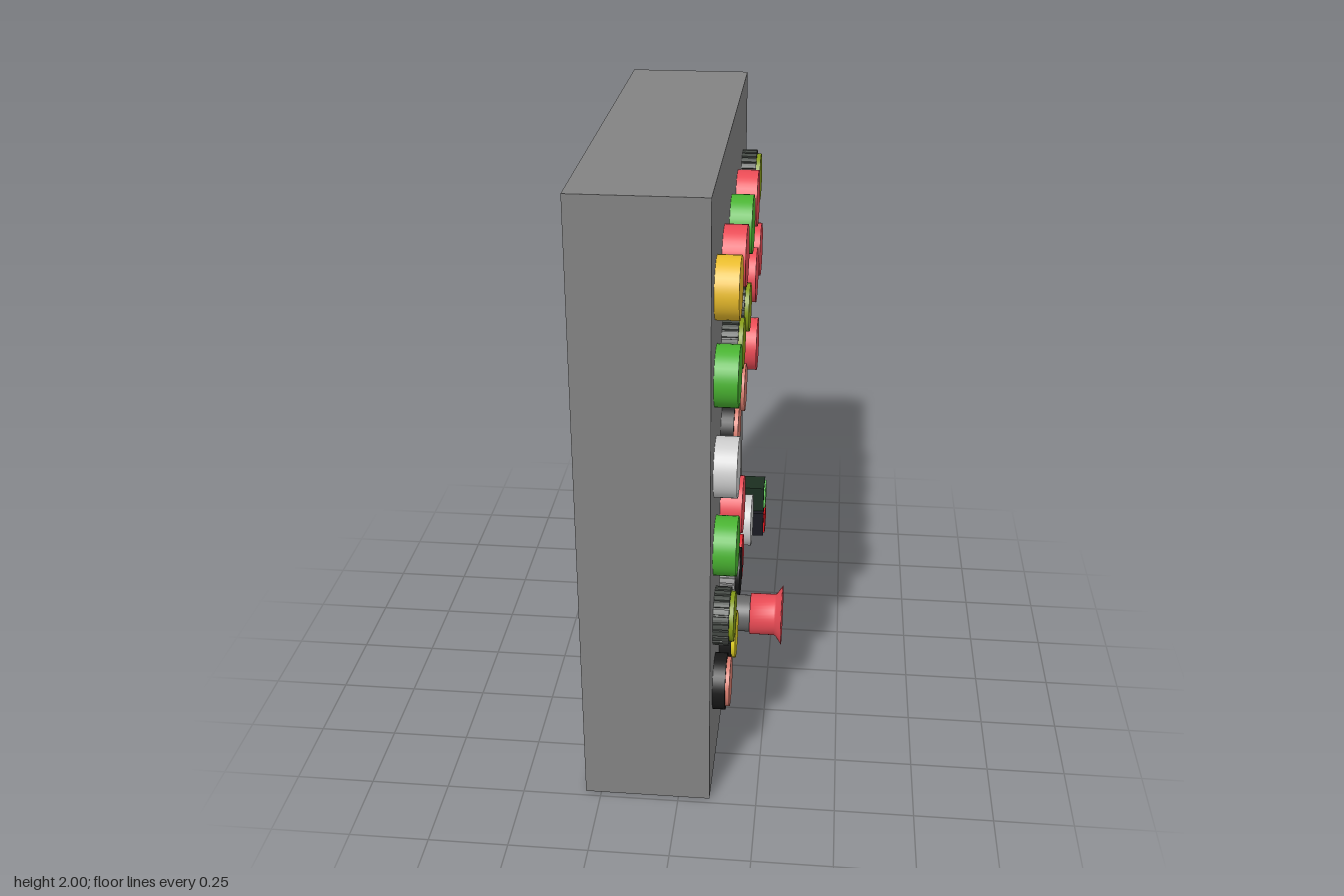
import * as THREE from 'three';

const FACE = 0.10; // x of the panel face that carries the controls
const C = {
  body: 0x828282, red: 0xe84a54, green: 0x49b231, amber: 0xe8bb2c, white: 0xcccccc,
  olive: 0x849a17, salmon: 0xd67b6d, yellow: 0xe8d525, brightRed: 0xe82e36,
  black: 0x181818, dark: 0x454a45, orange: 0xcc6325, grey: 0x666666,
};
const mats = {};
const mat = (color) => (mats[color] ??= new THREE.MeshStandardMaterial({ color }));

function add(parent, name, geometry, color, x = 0, y = 0, z = 0) {
  const mesh = new THREE.Mesh(geometry, mat(color));
  mesh.name = name;
  mesh.position.set(x, y, z);
  parent.add(mesh);
  return mesh;
}

// Cylinder along x from x0 to x1
function disc(r, x0, x1, rEnd = r) {
  return new THREE.CylinderGeometry(rEnd, r, x1 - x0, 40)
    .rotateZ(-Math.PI / 2).translate((x0 + x1) / 2, 0, 0);
}

// Ring along x with a notched rim
function knurledRing(rOut, rIn, depth) {
  const teeth = 24, shape = new THREE.Shape();
  for (let i = 0; i < teeth; i++) {
    for (const [t, r] of [[0, rOut], [0.35, rOut], [0.7, rOut], [0.74, rOut - 0.006], [0.96, rOut - 0.006]]) {
      const a = ((i + t) / teeth) * Math.PI * 2;
      shape[i + t === 0 ? 'moveTo' : 'lineTo'](r * Math.cos(a), r * Math.sin(a));
    }
  }
  shape.closePath();
  shape.holes.push(new THREE.Path().absarc(0, 0, rIn, 0, Math.PI * 2, true));
  return new THREE.ExtrudeGeometry(shape, { depth, bevelEnabled: false, curveSegments: 20 }).rotateY(Math.PI / 2);
}

function station(parent, name, y, z) {
  const g = new THREE.Group();
  g.name = name;
  g.position.set(FACE, y, z);
  parent.add(g);
  return g;
}

export function createModel() {
  const model = new THREE.Group();
  model.name = 'controlPanel';
  add(model, 'cabinet', new THREE.BoxGeometry(0.4, 2, 1.46), C.body, -0.1, 1, 0);

  // Plain push buttons: [y, z, colour]
  const plain = disc(0.093, 0, 0.07);
  for (const [y, z, color] of [
    [1.685, 0.555, C.amber], [1.685, 0.287, C.red], [1.685, -0.007, C.green], [1.685, -0.277, C.red],
    [1.413, 0.555, C.green], [1.415, -0.277, C.red], [1.418, -0.53, C.red],
    [1.115, 0.555, C.white], [1.107, -0.403, C.red],
    [0.842, 0.555, C.green], [0.842, 0.293, C.red], [0.478, -0.237, C.white],
  ]) add(model, 'pushButton', plain, color, FACE, y, z);

  // Lamps with a knurled bezel: [y, z, cap colour, bezel colour]
  const knurl = knurledRing(0.092, 0.078, 0.05), lampCap = disc(0.079, 0, 0.064);
  for (const [y, z, cap, bezel] of [
    [1.685, -0.522, C.olive, C.dark], [1.403, 0.29, C.olive, C.dark], [1.403, -0.01, C.olive, C.dark],
    [0.588, 0.558, C.olive, C.dark], [0.588, 0.29, C.black, 0xa0a0a0],
  ]) {
    const g = station(model, 'knurledLamp', y, z);
    add(g, 'bezel', knurl, bezel);
    add(g, 'cap', lampCap, cap);
  }

  // Lamps with a smooth black bezel: [y, z, cap colour]
  const collar = disc(0.09, 0, 0.04), lens = disc(0.079, 0.04, 0.053);
  for (const [y, z, cap] of [
    [1.115, 0.29, C.salmon], [1.115, -0.013, C.salmon], [0.338, 0.558, C.salmon],
    [0.338, 0.29, C.yellow], [0.478, 0.022, C.brightRed],
  ]) {
    const g = station(model, 'smoothLamp', y, z);
    add(g, 'bezel', collar, C.black);
    add(g, 'lens', lens, cap);
  }

  // Stop button: warning plate, stem and flared mushroom head
  const stop = station(model, 'stopButton', 0.19, -0.06);
  add(stop, 'warningPlate', disc(0.14, 0.014, 0.019), C.orange);
  add(stop, 'stem', disc(0.066, 0, 0.085), C.grey);
  const headProfile = [[0, 0.08], [0.074, 0.08], [0.074, 0.167], [0.076, 0.173], [0.107, 0.195]]
    .map(([r, h]) => new THREE.Vector2(r, h));
  const head = add(stop, 'head', new THREE.LatheGeometry(headProfile, 40).rotateZ(-Math.PI / 2), C.red);
  head.material = mat(C.red).clone();
  head.material.side = THREE.DoubleSide;
  add(stop, 'headFace', disc(0.106, 0.1935, 0.195), C.red);

  // Square start and stop switches
  for (const [y, housing, cap] of [[0.422, 0x1b2e20, 0x70dc68], [0.313, 0x1a1a22, 0xe0141c]]) {
    const g = station(model, 'squareSwitch', y, -0.538);
    add(g, 'housing', new THREE.BoxGeometry(0.1, 0.098, 0.098), housing, 0.05);
    add(g, 'cap', new THREE.BoxGeometry(0.01, 0.08, 0.08), cap, 0.101);
  }
  return model;
}
